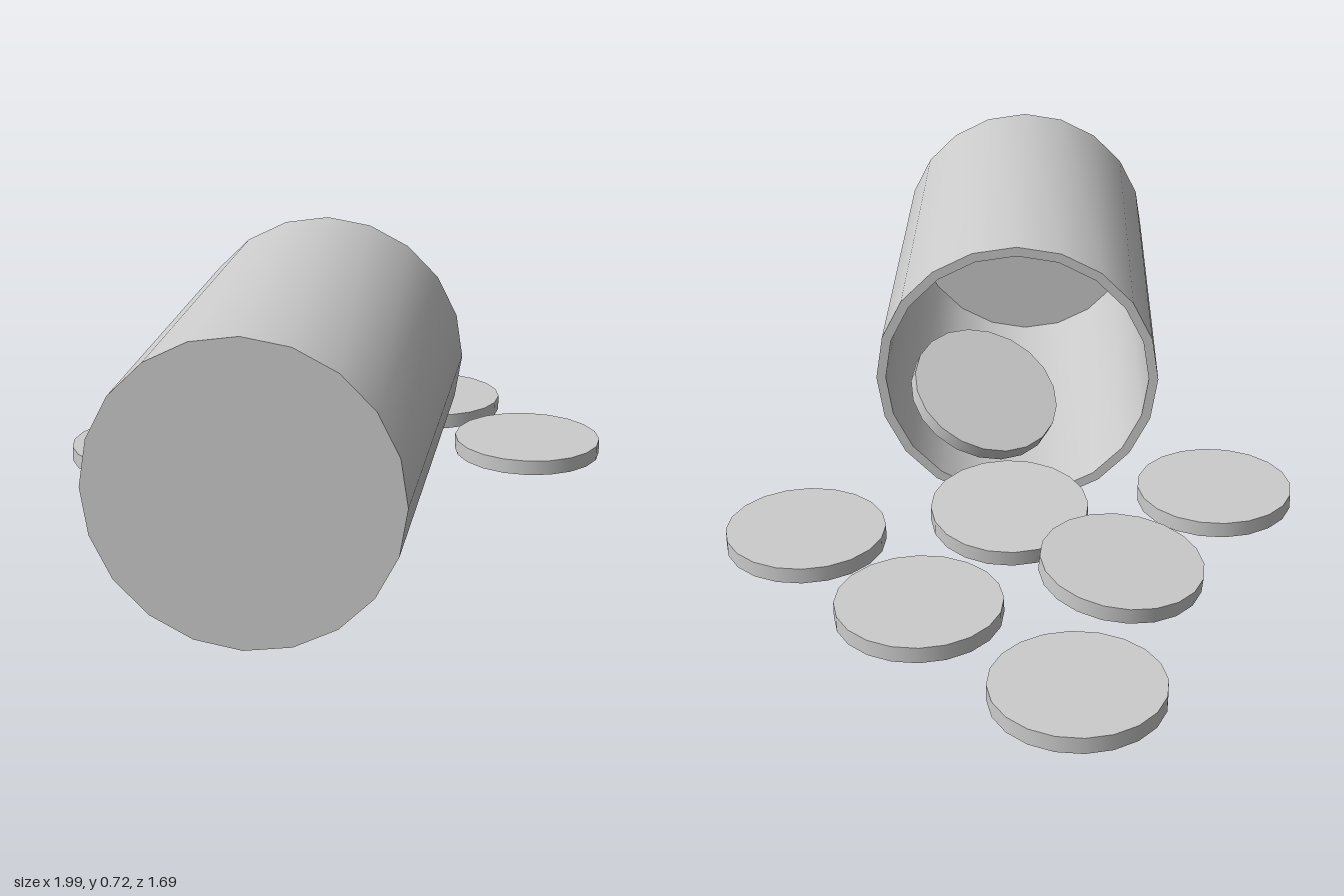
import * as THREE from 'three';
import { toCreasedNormals } from 'three/addons/utils/BufferGeometryUtils.js';

const SIDES = 20;

export function createModel() {
  const model = new THREE.Group();
  const material = new THREE.MeshStandardMaterial({ color: 0xcccccc });

  // Open can lying on its side: outer wall, rim, inner wall and floor in one profile
  const half = 0.546, outer = 0.36, inner = 0.336, floor = 0.025;
  const profile = [
    [0, -half], [outer - 0.004, -half], [outer, half],
    [inner, half], [inner, -half + floor], [0, -half + floor],
  ].map(([r, y]) => new THREE.Vector2(r, y));
  const can = new THREE.Mesh(toCreasedNormals(new THREE.LatheGeometry(profile, SIDES), 0.6), material);
  can.name = 'can';
  can.rotation.set(0, 0.56, -Math.PI / 2);
  can.position.set(-0.348, 0.36, 0.25);
  model.add(can);

  // Discs spilling out of the mouth: centre, then the direction the face points
  const discGeometry = new THREE.CylinderGeometry(0.2, 0.2, 0.04, SIDES);
  const up = new THREE.Vector3(0, 1, 0);
  const discs = [
    ['flatDisc', [-0.15, 0.04, -0.48], [0, 1, 0]],
    ['flatDisc', [0.795, 0.04, -0.645], [0, 1, 0]],
    ['flatDisc', [0.717, 0.04, -0.16], [0, 1, 0]],
    ['flatDisc', [0.6, 0.04, 0.275], [0, 1, 0]],
    ['leaningDisc', [0.335, 0.063, -0.485], [0, 1, -0.113]],
    ['mouthDisc', [0.257, 0.061, -0.11], [0.085, 1, -0.06]],
    ['innerDisc', [-0.02, 0.21, 0.155], [0.17, 0.84, -0.5]],
  ];
  for (const [name, position, normal] of discs) {
    const disc = new THREE.Mesh(discGeometry, material);
    disc.name = name;
    disc.position.set(...position);
    disc.quaternion.setFromUnitVectors(up, new THREE.Vector3(...normal).normalize());
    model.add(disc);
  }
  return model;
}
